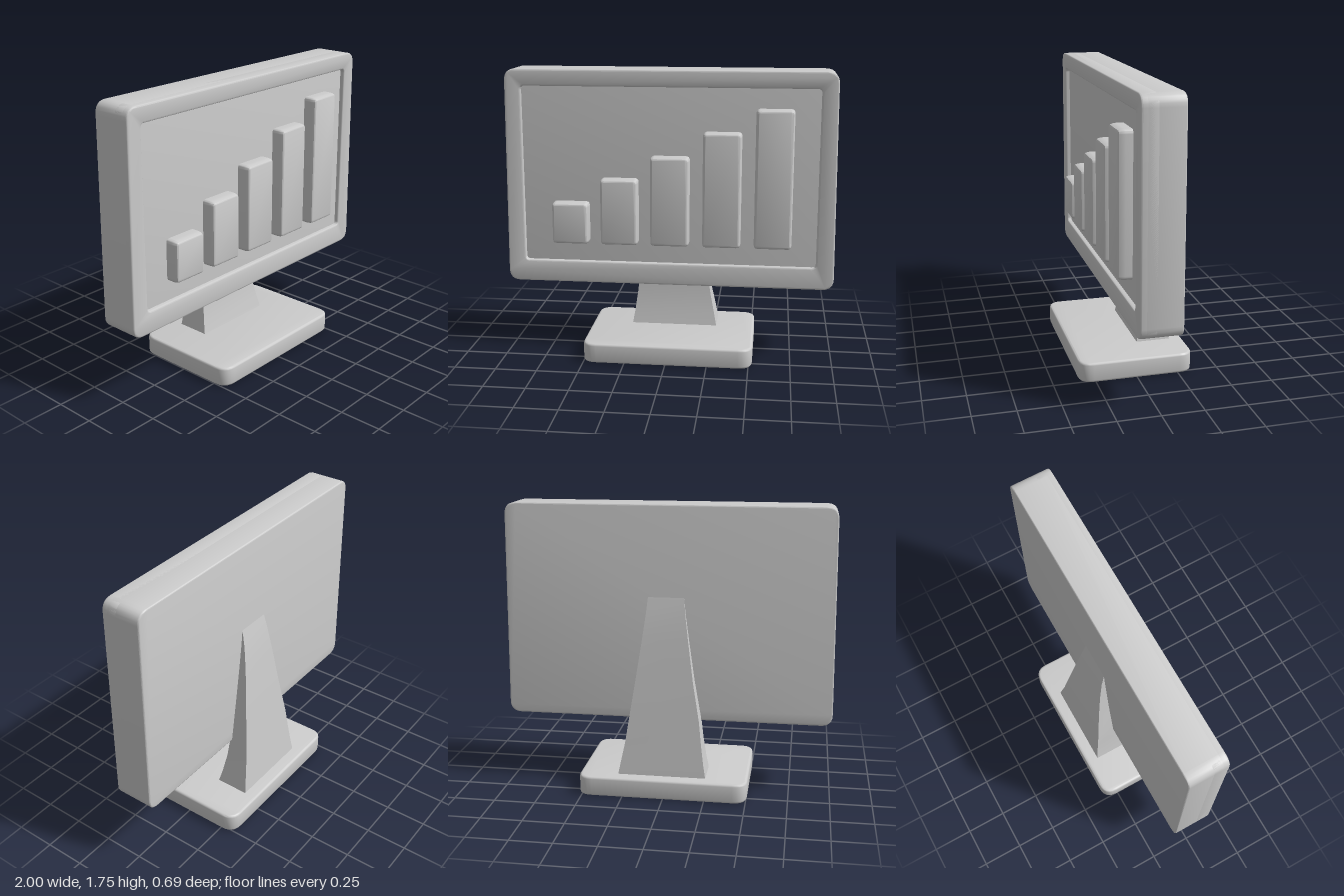
import * as THREE from 'three';
import { toCreasedNormals } from 'three/addons/utils/BufferGeometryUtils.js';

const grey = new THREE.MeshStandardMaterial({ color: 0xcccccc });

// Rounded outline; the top edge may be narrower by "inset" on each side
function roundedOutline(x0, x1, y0, y1, r, inset = 0, target = new THREE.Shape()) {
  const a = x0 + inset, b = x1 - inset;
  target.moveTo(x0 + r, y0);
  target.lineTo(x1 - r, y0);
  target.quadraticCurveTo(x1, y0, x1, y0 + r);
  target.lineTo(b, y1 - r);
  target.quadraticCurveTo(b, y1, b - r, y1);
  target.lineTo(a + r, y1);
  target.quadraticCurveTo(a, y1, a, y1 - r);
  target.lineTo(x0, y0 + r);
  target.quadraticCurveTo(x0, y0, x0 + r, y0);
  return target;
}

// Bevelled slab between z0 and z1 that keeps the outline's full size
function slab(shape, z0, z1, bevel, bevelDepth = bevel) {
  const g = new THREE.ExtrudeGeometry(shape, {
    depth: z1 - z0 - 2 * bevelDepth, curveSegments: 6, bevelEnabled: true,
    bevelSize: bevel, bevelThickness: bevelDepth, bevelOffset: -bevel, bevelSegments: 3,
  });
  g.translate(0, 0, z0 + bevelDepth);
  return toCreasedNormals(g, 0.6);
}

// Closed loft through rectangular sections [y, left, right, back, front]
function loft(sections) {
  const pos = [];
  const rings = sections.map(([y, l, r, b, f]) => [[l, y, f], [r, y, f], [r, y, b], [l, y, b]]);
  const quad = (a, b, c, d) => pos.push(...a, ...b, ...c, ...a, ...c, ...d);
  for (let i = 0; i < rings.length - 1; i++) {
    for (let k = 0; k < 4; k++) {
      const n = (k + 1) % 4;
      quad(rings[i][k], rings[i][n], rings[i + 1][n], rings[i + 1][k]);
    }
  }
  quad(...rings[rings.length - 1]);
  quad(...[...rings[0]].reverse());
  const g = new THREE.BufferGeometry();
  g.setAttribute('position', new THREE.Float32BufferAttribute(pos, 3));
  return toCreasedNormals(g, 0.5);
}

export function createModel() {
  const group = new THREE.Group();
  const add = (name, geometry) => {
    const mesh = new THREE.Mesh(geometry, grey);
    mesh.name = name;
    group.add(mesh);
    return mesh;
  };

  // Housing: solid back with the screen face, and a raised frame around it
  const outline = () => roundedOutline(-1, 1, 0.44, 1.75, 0.07, 0.013);
  add('housing', slab(outline(), -0.12, 0.095, 0.008));
  const frame = outline();
  frame.holes.push(roundedOutline(-0.89, 0.89, 0.575, 1.65, 0.025, 0, new THREE.Path()));
  add('screenFrame', slab(frame, 0.02, 0.124, 0.01));

  // Chart bars: left, right, top
  const bars = [
    [-0.71, -0.487, 0.95], [-0.413, -0.185, 1.1], [-0.11, 0.125, 1.24],
    [0.205, 0.435, 1.39], [0.515, 0.74, 1.53],
  ];
  bars.forEach(([l, r, top], i) => {
    add(`chartBar${i + 1}`, slab(roundedOutline(l, r, 0.695, top, 0.025), 0.03, 0.176, 0.016, 0.04));
  });

  // Neck: flared foot tapering upwards against the back of the housing
  add('neck', loft([
    [0.1, -0.255, 0.288, -0.268, -0.055],
    [0.2, -0.238, 0.268, -0.257, -0.078],
    [0.32, -0.222, 0.243, -0.243, -0.097],
    [0.46, -0.207, 0.222, -0.228, -0.108],
    [0.7, -0.165, 0.185, -0.198, -0.11],
    [0.95, -0.13, 0.148, -0.166, -0.11],
    [1.1, -0.11, 0.128, -0.142, -0.11],
    [1.2, -0.1, 0.118, -0.12, -0.11],
  ]));

  // Base plate, laid flat
  const base = slab(roundedOutline(-0.505, 0.522, -0.345, 0.345, 0.085), 0, 0.12, 0.014);
  base.rotateX(-Math.PI / 2);
  add('base', base);

  return group;
}
